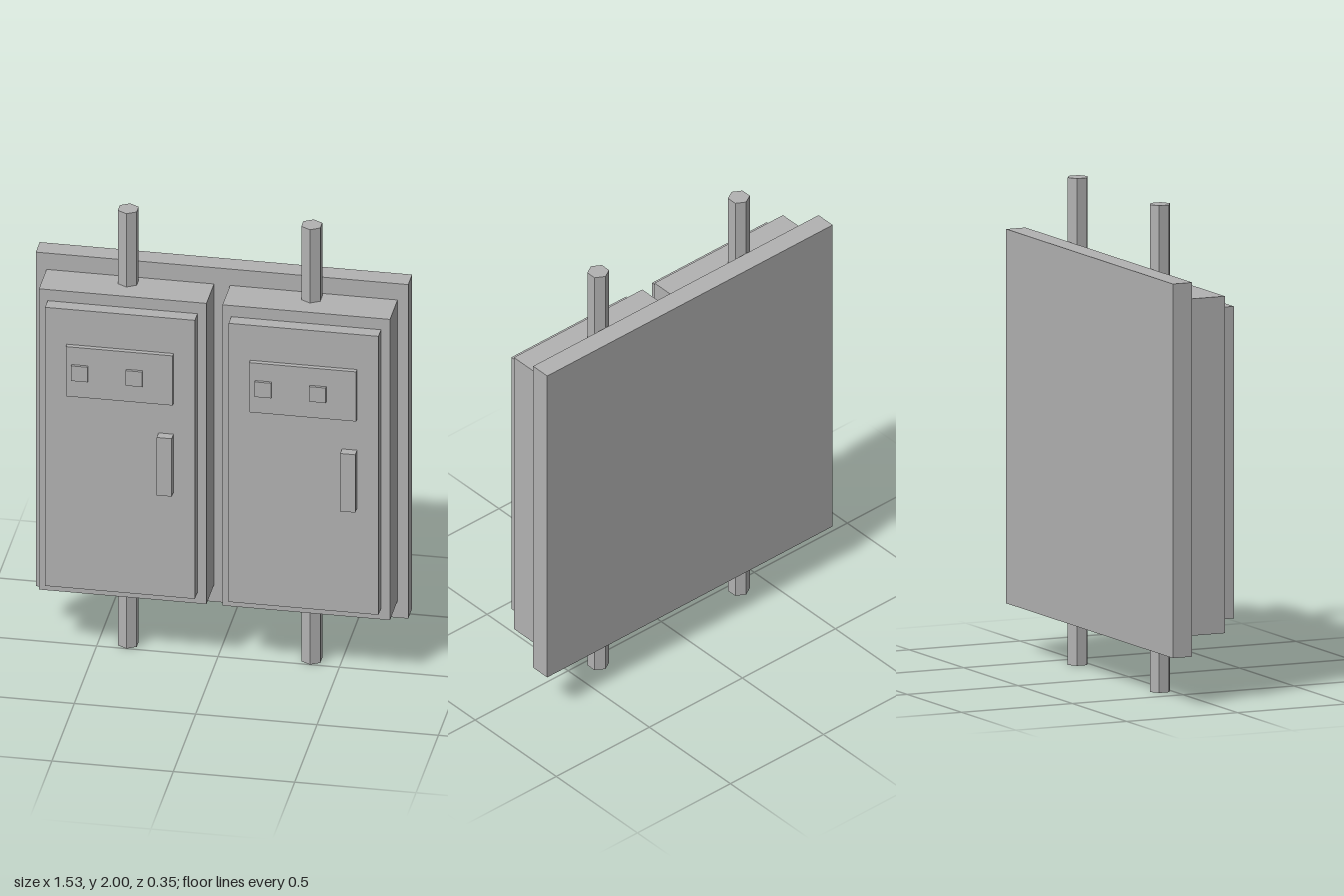
import * as THREE from 'three';

const grey = new THREE.MeshStandardMaterial({ color: 0xb2b2b2 });
grey.name = 'paintedGrey';

// Box given by its extents on each axis
function box(name, [x0, x1], [y0, y1], [z0, z1]) {
  const mesh = new THREE.Mesh(new THREE.BoxGeometry(x1 - x0, y1 - y0, z1 - z0), grey);
  mesh.position.set((x0 + x1) / 2, (y0 + y1) / 2, (z0 + z1) / 2);
  mesh.name = name;
  return mesh;
}

// One electrical cabinet, centred on its own x = 0
function cabinet(name) {
  const group = new THREE.Group();
  group.name = name;
  group.add(
    box('cabinetBody', [-0.345, 0.345], [0.28, 1.663], [-0.09, 0.079]),
    box('door', [-0.309, 0.308], [0.331, 1.612], [0.079, 0.137]),
    box('controlPlate', [-0.22, 0.22], [1.223, 1.451], [0.137, 0.158]),
    box('handle', [0.158, 0.22], [0.814, 1.08], [0.137, 0.177])
  );

  // Two square buttons on the control plate
  for (const x of [-0.162, 0.063]) {
    group.add(box('button', [x - 0.034, x + 0.034], [1.302, 1.371], [0.158, 0.17]));
  }

  // Six-sided conduits entering from below and leaving at the top
  for (const [part, y0, y1] of [['lowerConduit', 0, 0.28], ['upperConduit', 1.663, 2]]) {
    const geometry = new THREE.CylinderGeometry(0.045, 0.045, y1 - y0, 6).toNonIndexed();
    geometry.computeVertexNormals();
    const pipe = new THREE.Mesh(geometry, grey);
    pipe.position.set(0, (y0 + y1) / 2, -0.045);
    pipe.name = part;
    group.add(pipe);
  }
  return group;
}

export function createModel() {
  const model = new THREE.Group();
  model.name = 'electricalCabinets';
  model.add(box('backPanel', [-0.767, 0.767], [0.202, 1.738], [-0.177, -0.09]));

  for (const [name, x] of [['rightCabinet', -0.378], ['leftCabinet', 0.378]]) {
    const unit = cabinet(name);
    unit.position.x = x;
    model.add(unit);
  }
  return model;
}
